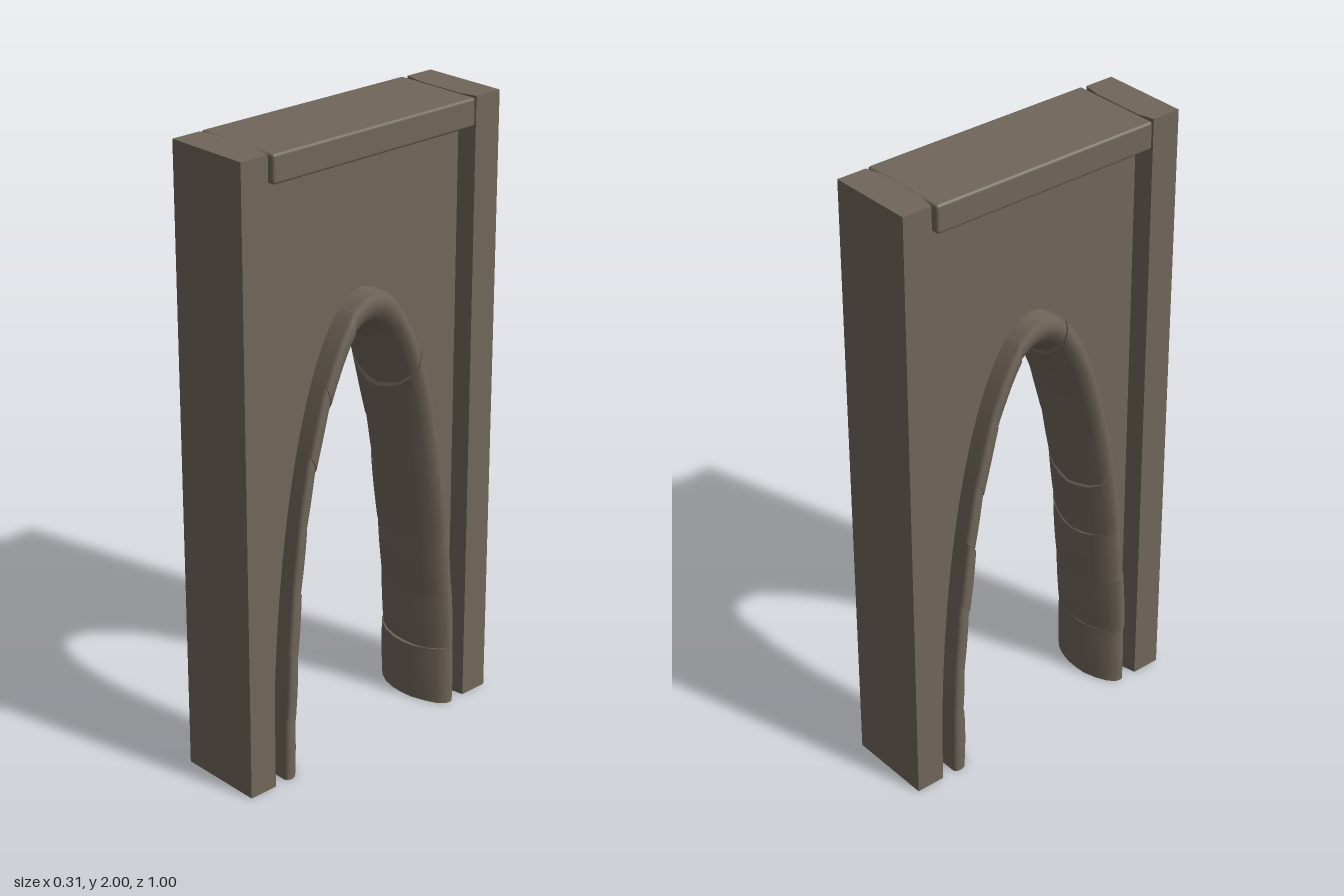
import * as THREE from 'three';
import { RoundedBoxGeometry } from 'three/addons/geometries/RoundedBoxGeometry.js';

// Small seeded generator returning values in -1..1
function seeded(seed) {
  return () => {
    seed = (seed * 16807) % 2147483647;
    return (seed / 2147483647) * 2 - 1;
  };
}

// Stone cross-section: x across the wall, t from outer (0) to inner (1) arch line
const SECTION = [
  [-0.136, 0], [0.136, 0], [0.145, 0.1], [0.147, 0.25], [0.142, 0.42], [0.122, 0.62],
  [0.085, 0.83], [0.04, 0.96], [0, 1], [-0.04, 0.96], [-0.085, 0.83], [-0.122, 0.62],
  [-0.142, 0.42], [-0.147, 0.25], [-0.145, 0.1],
];
const OUTER = { z: 0.358, y: 1.5 };
const INNER = { z: 0.272, y: 1.345 };

// One arch stone swept between two angles, slightly uneven, closed at both ends
function stoneGeometry(angleAt, u0, u1, rand) {
  const rings = 6, n = SECTION.length;
  const pos = [], index = [];
  const wide = 1 + rand() * 0.025, shift = rand() * 0.003;
  const deep = 1 + rand() * 0.07, skew = rand() * 0.05;
  const bumps = SECTION.map(() => rand() * 0.025);
  const place = (u, x, t) => {
    const a = angleAt(u);
    pos.push(x,
      Math.max(0, THREE.MathUtils.lerp(OUTER.y, INNER.y, t) * Math.sin(a)),
      THREE.MathUtils.lerp(OUTER.z, INNER.z, t) * Math.cos(a));
  };
  const ring = (k) => {
    const f = k / rings, bulge = Math.sin(Math.PI * f);
    SECTION.forEach(([x, t], j) => place(
      THREE.MathUtils.lerp(u0, u1, f),
      x * (wide + 0.015 * bulge) + shift,
      t * (deep + skew * (f - 0.5) + 0.04 * bulge + bumps[j])));
  };
  for (let k = 0; k <= rings; k++) ring(k);
  for (let k = 0; k < rings; k++) {
    for (let j = 0; j < n; j++) {
      const a = k * n + j, b = k * n + (j + 1) % n;
      index.push(a, b, b + n, a, b + n, a + n);
    }
  }
  // End caps
  for (const end of [0, 1]) {
    const start = pos.length / 3;
    ring(end * rings);
    place(end ? u1 : u0, 0, 0.4);
    for (let j = 0; j < n; j++) {
      const a = start + j, b = start + (j + 1) % n, c = start + n;
      if (end) index.push(a, b, c);
      else index.push(b, a, c);
    }
  }
  const g = new THREE.BufferGeometry();
  g.setAttribute('position', new THREE.Float32BufferAttribute(pos, 3));
  g.setIndex(index);
  g.computeVertexNormals();
  return g;
}

export function createModel() {
  const group = new THREE.Group();
  const stone = new THREE.MeshStandardMaterial({ color: 0x70665a });
  stone.name = 'brownStone';
  const add = (parent, name, geometry) => {
    const mesh = new THREE.Mesh(geometry, stone);
    mesh.name = name;
    parent.add(mesh);
    return mesh;
  };

  // Full-height posts with chamfered inner corners
  const postShape = new THREE.Shape([
    [-0.143, 0.5], [-0.143, 0.403], [-0.085, 0.39], [0.085, 0.39], [0.143, 0.403], [0.143, 0.5],
  ].map(([x, y]) => new THREE.Vector2(x, y)));
  const postGeometry = new THREE.ExtrudeGeometry(postShape, { depth: 2, bevelEnabled: false });
  postGeometry.rotateX(-Math.PI / 2);
  add(group, 'backPost', postGeometry);
  add(group, 'frontPost', postGeometry).rotation.y = Math.PI;

  // Recessed wall panel with the arched opening
  const wall = new THREE.Shape();
  wall.moveTo(-0.395, 0);
  wall.lineTo(-0.325, 0);
  wall.absellipse(0, 0, 0.325, 1.44, Math.PI, 0, true);
  wall.lineTo(0.395, 0);
  wall.lineTo(0.395, 1.98);
  wall.lineTo(-0.395, 1.98);
  wall.closePath();
  const wallGeometry = new THREE.ExtrudeGeometry(wall, { depth: 0.17, bevelEnabled: false, curveSegments: 48 });
  wallGeometry.translate(0, 0, -0.085);
  wallGeometry.rotateY(Math.PI / 2);
  add(group, 'wallPanel', wallGeometry);

  // Lintel across the top, between the posts
  const lintel = new RoundedBoxGeometry(0.306, 0.088, 0.782, 3, 0.009);
  add(group, 'lintel', lintel).position.y = 1.956;

  // Arch of uneven stones, evenly spaced along the curve
  const arch = new THREE.Group();
  arch.name = 'archStones';
  group.add(arch);
  const curve = new THREE.EllipseCurve(0, 0, 0.315, 1.42, 0, Math.PI);
  const angleAt = (u) => Math.PI * curve.getUtoTmapping(THREE.MathUtils.clamp(u, 0, 1));
  const rand = seeded(4217);
  const count = 15;
  for (let i = 0; i < count; i++) {
    const u0 = i / count, u1 = (i + 1) / count + (i < count - 1 ? 0.003 : 0);
    add(arch, 'archStone' + (i + 1), stoneGeometry(angleAt, u0, u1, rand));
  }
  return group;
}
